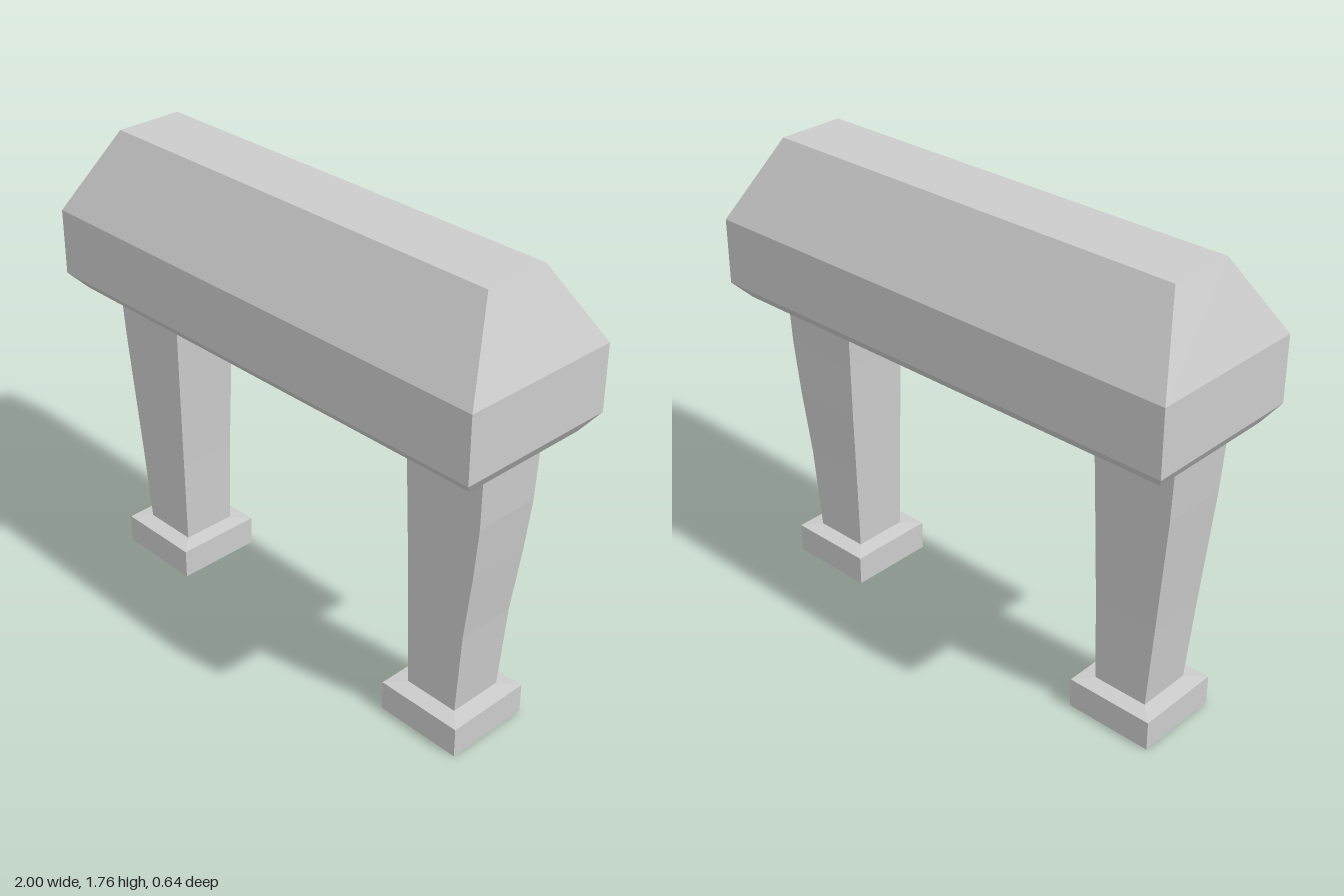
import * as THREE from 'three';

const material = new THREE.MeshStandardMaterial({
  color: 0xcccccc, flatShading: true, side: THREE.DoubleSide,
});

// Skins a stack of rectangular sections [y, x0, x1, z0, z1], with optional end caps.
function loft(name, sections, capped = false) {
  const rings = sections.map(([y, x0, x1, z0, z1]) => [
    [x0, y, z1], [x1, y, z1], [x1, y, z0], [x0, y, z0],
  ]);
  const positions = [];
  const quad = (a, b, c, d) => positions.push(...a, ...b, ...c, ...a, ...c, ...d);
  for (let i = 0; i < rings.length - 1; i++) {
    for (let j = 0; j < 4; j++) {
      const k = (j + 1) % 4;
      quad(rings[i][j], rings[i][k], rings[i + 1][k], rings[i + 1][j]);
    }
  }
  if (capped) {
    const [a, b, c, d] = rings[0];
    quad(d, c, b, a);
    quad(...rings[rings.length - 1]);
  }
  const geometry = new THREE.BufferGeometry();
  geometry.setAttribute('position', new THREE.Float32BufferAttribute(positions, 3));
  geometry.computeVertexNormals();
  const mesh = new THREE.Mesh(geometry, material);
  mesh.name = name;
  return mesh;
}

// Mirrors sections across x = 0.
const mirror = (sections) => sections.map(([y, x0, x1, z0, z1]) => [y, -x1, -x0, z0, z1]);

export function createModel() {
  const model = new THREE.Group();
  model.name = 'gateway';

  // Heavy lintel: chamfered underside, upright band, hipped top
  model.add(loft('lintel', [
    [1.155, -0.955, 0.955, -0.26, 0.26],
    [1.22, -1, 1, -0.32, 0.32],
    [1.472, -1, 1, -0.32, 0.32],
    [1.765, -0.873, 0.873, -0.133, 0.13],
  ], true));

  // Hollow tapered legs, the left one bowing a little on its outer side
  const leftLeg = [
    [0.125, 0.602, 0.823, -0.098, 0.12],
    [0.46, 0.597, 0.848, -0.107, 0.127],
    [0.72, 0.591, 0.882, -0.117, 0.133],
    [0.93, 0.586, 0.904, -0.123, 0.139],
    [1.155, 0.58, 0.911, -0.131, 0.145],
  ];
  const rightLeg = mirror([
    [0.125, 0.606, 0.828, -0.098, 0.12],
    [0.46, 0.602, 0.858, -0.107, 0.127],
    [0.93, 0.592, 0.902, -0.123, 0.139],
    [1.155, 0.586, 0.916, -0.131, 0.145],
  ]);

  // Feet are shells, open below, whose tops slope up to the legs
  const foot = (leg, x0, x1) => [
    [0, x0, x1, -0.16, 0.184],
    [0.117, x0, x1, -0.16, 0.184],
    leg[0],
  ];
  model.add(
    loft('leftLeg', leftLeg),
    loft('rightLeg', rightLeg),
    loft('leftFoot', foot(leftLeg, 0.54, 0.887)),
    loft('rightFoot', foot(rightLeg, -0.892, -0.545)),
  );
  return model;
}
